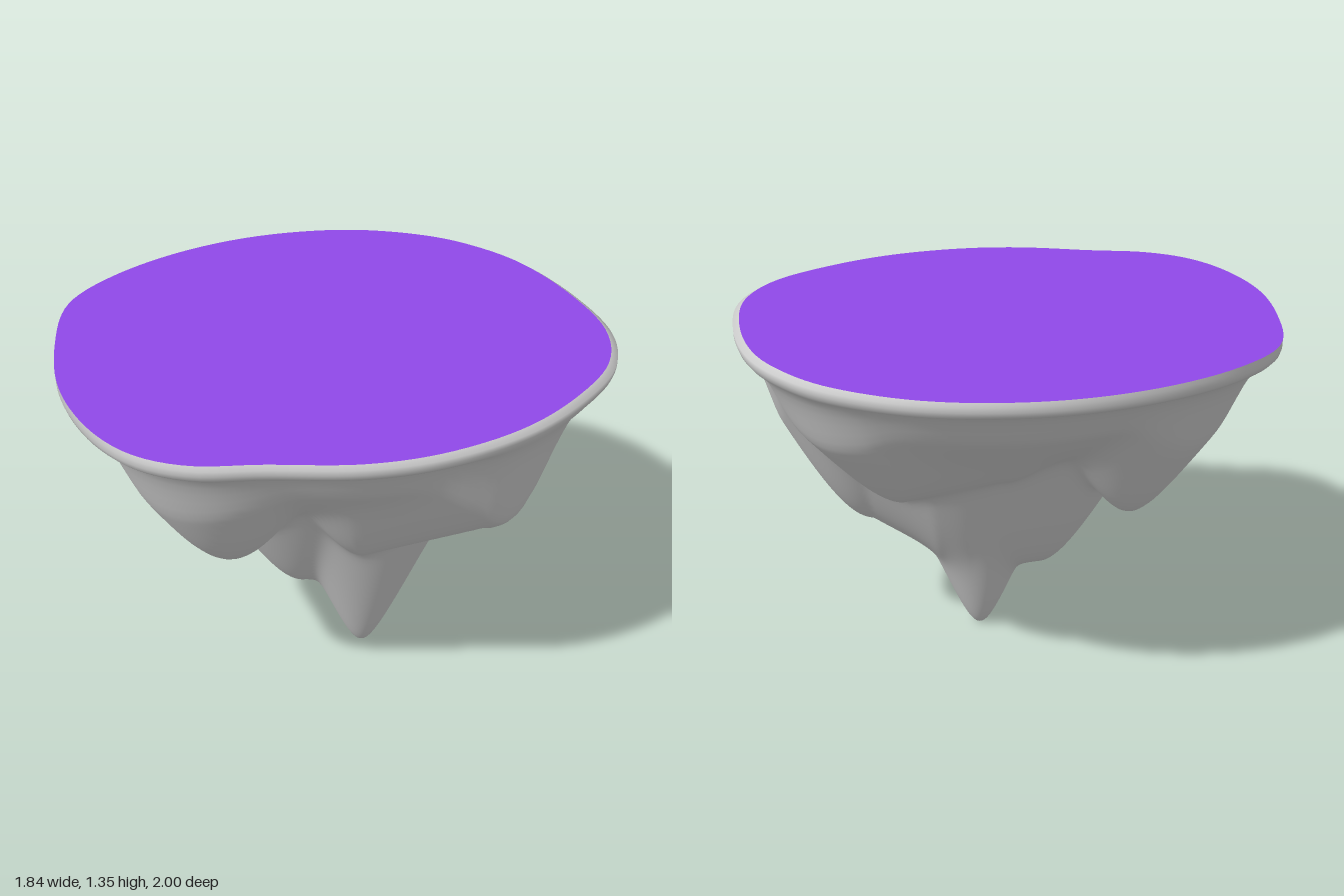
import * as THREE from 'three';

const SEGMENTS = 144, RINGS = 72;
const TIP = new THREE.Vector2(0.13, -0.08);

// Plan outline of the rim (x, z), clockwise seen from above
const outline = new THREE.CatmullRomCurve3([
  [0, -1], [0.3, -0.95], [0.6, -0.83], [0.78, -0.65], [0.88, -0.38], [0.915, -0.1], [0.87, 0.2],
  [0.77, 0.43], [0.58, 0.68], [0.45, 0.86], [0.3, 0.96], [0.1, 0.995], [-0.2, 0.95], [-0.5, 0.81],
  [-0.78, 0.6], [-0.89, 0.35], [-0.925, 0], [-0.86, -0.35], [-0.68, -0.68], [-0.42, -0.9], [-0.2, -0.98],
].map(([x, z]) => new THREE.Vector3(x, 0, z)), true);
const rim = outline.getSpacedPoints(SEGMENTS).slice(0, SEGMENTS);

// Hanging rock lobes: a ridge between two points (x, y, z), its wall slope and roundness
const lobes = [
  { from: [0.13, 0, -0.08], to: [0.13, 0, -0.08], slope: 2.65, round: 0.06 },      // spike
  { from: [-0.02, 0.31, 0.1], to: [0.1, 0.27, -0.14], slope: 2.0, round: 0.14 },   // body above the spike
  { from: [-0.43, 0.67, 0.25], to: [-0.25, 0.71, 0.4], slope: 1.6, round: 0.1 },   // left front
  { from: [-0.14, 0.71, 0.46], to: [0.12, 0.69, 0.52], slope: 2.0, round: 0.2 },   // front
  { from: [0.12, 0.37, -0.25], to: [0.25, 0.52, -0.47], slope: 2.3, round: 0.19 }, // back
  { from: [0.36, 0.65, 0.1], to: [0.68, 0.83, -0.18], slope: 2.2, round: 0.17 },   // side
  { from: [-0.08, 0.73, -0.48], to: [-0.3, 0.84, -0.2], slope: 1.3, round: 0.15 }, // left back
];

function lobeHeight({ from, to, slope, round }, x, z) {
  const dx = to[0] - from[0], dz = to[2] - from[2];
  const along = ((x - from[0]) * dx + (z - from[2]) * dz) / (dx * dx + dz * dz || 1);
  const k = THREE.MathUtils.clamp(along, 0, 1);
  const d = Math.hypot(x - from[0] - k * dx, z - from[2] - k * dz);
  return THREE.MathUtils.lerp(from[1], to[1], k) + slope * (Math.hypot(d, round) - round);
}

// Smooth minimum of a shallow bowl and all lobes, flaring out to the rim at the edge
function rockHeight(x, z, t) {
  const blend = 0.025;
  let sum = Math.exp(-(0.82 + 0.48 * t ** 2.4) / blend);
  for (const lobe of lobes) sum += Math.exp(-lobeHeight(lobe, x, z) / blend);
  const y = -blend * Math.log(sum);
  return THREE.MathUtils.lerp(y, 1.295, THREE.MathUtils.smoothstep(t, 0.85, 1.02));
}

// Closed rings of points joined into one smooth skin, facing outward and down
function skin(rings) {
  const position = [], index = [];
  for (const ring of rings) for (const p of ring) position.push(p.x, p.y, p.z);
  for (let i = 0; i < rings.length - 1; i++) {
    for (let j = 0; j < SEGMENTS; j++) {
      const n = (j + 1) % SEGMENTS;
      const a = i * SEGMENTS + j, b = i * SEGMENTS + n;
      index.push(a, a + SEGMENTS, b + SEGMENTS, a, b + SEGMENTS, b);
    }
  }
  const geometry = new THREE.BufferGeometry();
  geometry.setAttribute('position', new THREE.Float32BufferAttribute(position, 3));
  geometry.setIndex(index);
  geometry.computeVertexNormals();
  return geometry;
}

const rimRing = (scale, y, shift = 0) =>
  rim.map(p => new THREE.Vector3(p.x * scale - shift, y, p.z * scale + shift));

export function createModel() {
  const group = new THREE.Group();
  group.name = 'floatingIsland';

  // Rock underside, with rings packed closer towards the spike
  const rings = [];
  for (let i = 0; i <= RINGS; i++) {
    const t = 0.002 + 0.998 * (i / RINGS) ** 1.3;
    rings.push(rim.map(p => {
      const x = THREE.MathUtils.lerp(TIP.x, p.x * 0.985, t);
      const z = THREE.MathUtils.lerp(TIP.y, p.z * 0.985, t);
      return new THREE.Vector3(x, rockHeight(x, z, t), z);
    }));
  }
  // Rounded lip
  rings.push(rimRing(0.995, 1.305), rimRing(1, 1.32), rimRing(1, 1.338), rimRing(0.988, 1.352, 0.009));
  const rock = new THREE.Mesh(skin(rings), new THREE.MeshStandardMaterial({ color: 0xcccccc }));
  rock.name = 'rock';
  group.add(rock);

  // Flat ground on top
  const shape = new THREE.Shape(rimRing(0.988, 0, 0.009).map(p => new THREE.Vector2(p.x, -p.z)));
  const ground = new THREE.Mesh(
    new THREE.ShapeGeometry(shape).rotateX(-Math.PI / 2).translate(0, 1.352, 0),
    new THREE.MeshStandardMaterial({ color: 0x9048e8 }));
  ground.name = 'ground';
  group.add(ground);

  return group;
}
